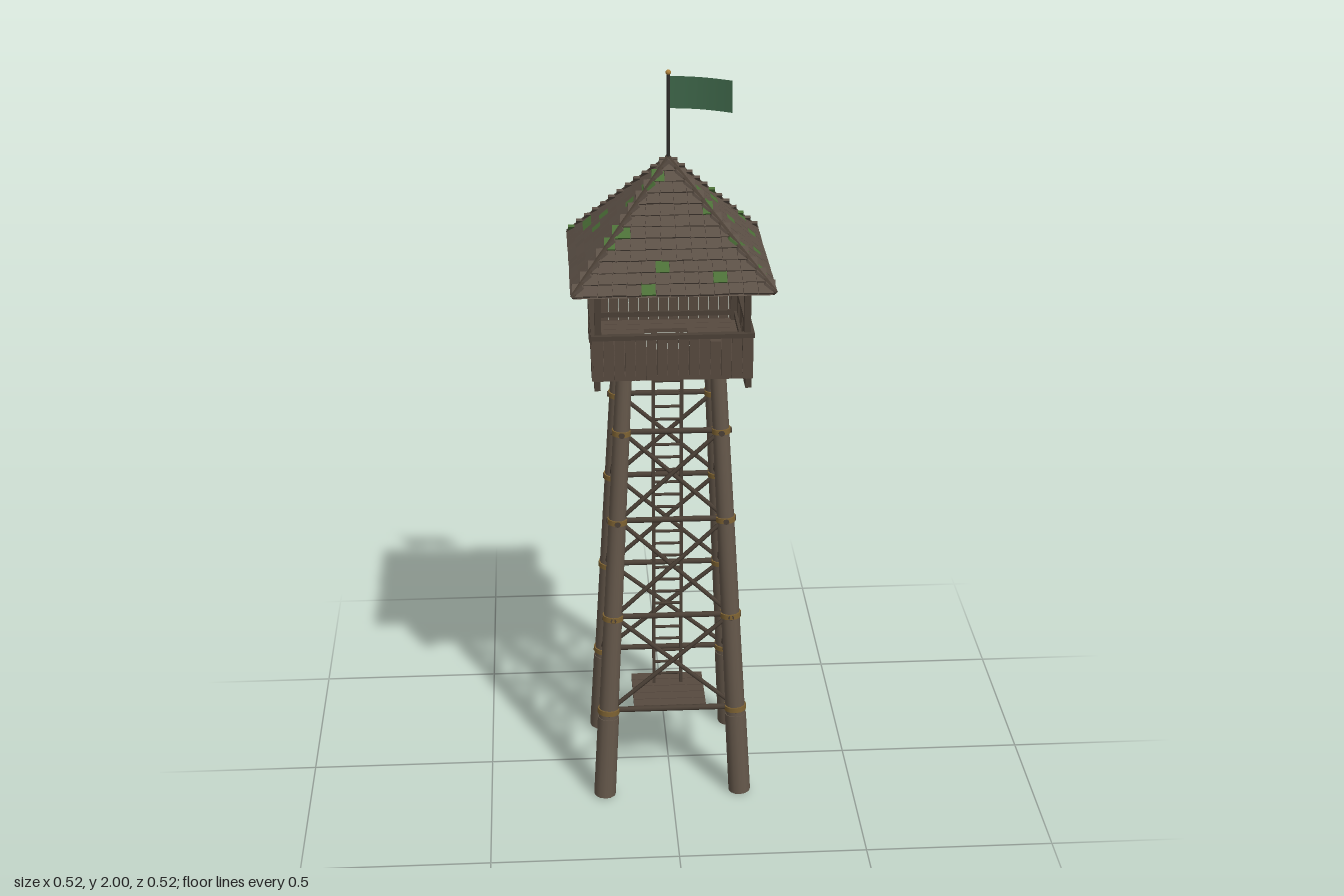
import * as THREE from 'three';
import { mergeGeometries } from 'three/addons/utils/BufferGeometryUtils.js';

const material = (name, color, side = THREE.FrontSide) => {
  const m = new THREE.MeshStandardMaterial({ color, side });
  m.name = name;
  return m;
};

let seed = 7;
const rand = () => (seed = (seed * 16807) % 2147483647) / 2147483647;

export function createModel() {
  const root = new THREE.Group();
  root.name = 'watchtower';

  const timber = material('timber', 0x64574a);
  const darkTimber = material('darkTimber', 0x4b4036);
  const boardWood = material('boardWood', 0x574a3f);
  const shingleWood = material('shingleWood', 0x5c5046);
  const lining = material('roofLining', 0x5c5046, THREE.DoubleSide);
  const moss = material('moss', 0x4c7038);
  const rope = material('rope', 0x7d6232);
  const brass = material('brass', 0xb0823c);
  const iron = material('iron', 0x2f2d2b);
  const cloth = material('flagCloth', 0x3c6347, THREE.DoubleSide);

  const V = (x, y, z) => new THREE.Vector3(x, y, z);
  const group = (name, parent = root) => {
    const g = new THREE.Group();
    g.name = name;
    parent.add(g);
    return g;
  };
  const add = (parent, name, geo, mat) => {
    const m = new THREE.Mesh(geo, mat);
    m.name = name;
    parent.add(m);
    return m;
  };
  const box = (parent, name, mat, w, h, d, x, y, z) =>
    add(parent, name, new THREE.BoxGeometry(w, h, d).translate(x, y, z), mat);
  // round pole from a to b
  const pole = (parent, name, mat, a, b, ra, rb = ra, sides = 8) => {
    const dir = b.clone().sub(a);
    const m = add(parent, name, new THREE.CylinderGeometry(rb, ra, dir.length(), sides), mat);
    m.position.copy(a).add(b).multiplyScalar(0.5);
    m.quaternion.setFromUnitVectors(V(0, 1, 0), dir.normalize());
    return m;
  };

  // leaning legs with rope lashings
  const levels = [0.26, 0.54, 0.82, 1.07];
  const legTop = 1.23;
  const spread = (y) => 0.187 - 0.065 * y / legTop;
  const legRadius = (y) => 0.028 - 0.007 * y / legTop;
  const at = (sx, sz, y) => V(sx * spread(y), y, sz * spread(y));
  const legs = group('legs');
  for (const sx of [-1, 1]) for (const sz of [-1, 1]) {
    pole(legs, 'leg', timber, at(sx, sz, 0), at(sx, sz, legTop), 0.028, 0.021, 12);
    pole(legs, 'legFoot', timber, at(sx, sz, 0.002), at(sx, sz, 0.24), 0.030, 0.029, 12);
    for (const y of levels)
      pole(legs, 'lashing', rope, at(sx, sz, y - 0.007), at(sx, sz, y + 0.007), legRadius(y) + 0.004, legRadius(y) + 0.004, 12);
  }

  // horizontal beams and cross braces, repeated on four sides
  const bracing = group('bracing');
  for (let s = 0; s < 4; s++) {
    const side = group('bracedSide', bracing);
    side.rotation.y = s * Math.PI / 2;
    levels.forEach((y, i) => {
      const w = spread(y);
      pole(side, 'crossBeam', darkTimber, V(-w - 0.028, y, w), V(w + 0.028, y, w), 0.008);
      if (i === 3) return;
      const y2 = levels[i + 1];
      for (const k of [-1, 1]) {
        const a = at(-k, 1, y), b = at(k, 1, y2);
        a.z += k * 0.005;
        b.z += k * 0.005;
        pole(side, 'diagonalBrace', darkTimber, a, b, 0.006, 0.006, 6);
      }
    });
  }

  // ladder and its landing
  const ladder = group('ladder');
  const lz = -0.037;
  for (const x of [-0.038, 0.038])
    box(ladder, 'ladderRail', darkTimber, 0.009, 1.06, 0.009, x, 0.75, lz);
  for (let y = 0.25; y < 1.27; y += 0.0372)
    pole(ladder, 'rung', darkTimber, V(-0.038, y, lz), V(0.038, y, lz), 0.004, 0.004, 6);
  const landing = group('landing');
  for (let i = 0; i < 5; i++)
    box(landing, 'landingPlank', boardWood, 0.2, 0.009, 0.034, 0, 0.216, -0.073 + i * 0.0365);

  // deck planks leaving a hatch around the ladder
  const deck = group('deck');
  for (let i = 0; i < 11; i++) {
    const z = -0.185 + i * 0.037;
    if (z > -0.12 && z < 0.03)
      for (const k of [-1, 1]) box(deck, 'deckPlank', boardWood, 0.145, 0.012, 0.035, k * 0.1305, 1.25, z);
    else box(deck, 'deckPlank', boardWood, 0.406, 0.012, 0.035, 0, 1.25, z);
  }
  for (const x of [-0.193, 0.193])
    box(deck, 'deckBracket', darkTimber, 0.016, 0.025, 0.16, x, 1.233, 0.13);

  // boarded parapet
  const parapet = group('parapet');
  for (let s = 0; s < 4; s++) {
    const side = group('parapetSide', parapet);
    side.rotation.y = s * Math.PI / 2;
    for (let i = 0; i < 15; i++) {
      const h = 0.112 + rand() * 0.005 - (i === 11 ? 0.01 : 0);
      box(side, 'parapetBoard', boardWood, 0.0255, h, 0.008, -0.1904 + i * 0.0272, 1.245 + h / 2, 0.2 + rand() * 0.003);
    }
    box(side, 'handrail', darkTimber, 0.416, 0.012, 0.018, 0, 1.362, 0.199);
    box(side, 'lowerRail', darkTimber, 0.39, 0.014, 0.008, 0, 1.275, 0.193);
  }

  // roof posts, wall plates and bell beam
  const frame = group('roofFrame');
  for (const x of [-0.19, 0.19]) for (const z of [-0.19, 0.19])
    box(frame, 'roofPost', darkTimber, 0.017, 0.28, 0.017, x, 1.385, z);
  for (const k of [-0.19, 0.19]) {
    box(frame, 'wallPlate', darkTimber, 0.4, 0.016, 0.016, 0, 1.506, k);
    box(frame, 'wallPlate', darkTimber, 0.016, 0.016, 0.4, k, 1.506, 0);
  }
  box(frame, 'bellBeam', darkTimber, 0.4, 0.018, 0.018, 0, 1.51, 0);

  // bell
  const bell = group('bell');
  const profile = [[0.037, 0], [0.034, 0.006], [0.025, 0.026], [0.02, 0.05], [0.013, 0.064], [0, 0.068]];
  const bellBody = add(bell, 'bellBody', new THREE.LatheGeometry(profile.map(([x, y]) => new THREE.Vector2(x, y)), 16), brass);
  bellBody.position.y = 1.422;
  add(bell, 'bellMouth', new THREE.CircleGeometry(0.036, 16).rotateX(Math.PI / 2).translate(0, 1.4225, 0), brass);
  add(bell, 'clapper', new THREE.SphereGeometry(0.008, 8, 6).translate(0, 1.418, 0), iron);
  pole(bell, 'bellHanger', iron, V(0, 1.485, 0), V(0, 1.505, 0), 0.005);

  // roof lining and hip beams
  const roof = group('roof');
  const eave = 0.252, eaveY = 1.487, apexY = 1.762;
  const liningGeo = new THREE.ConeGeometry(eave * Math.SQRT2, apexY - eaveY, 4, 1, true).toNonIndexed();
  liningGeo.computeVertexNormals();
  liningGeo.rotateY(Math.PI / 4).translate(0, (eaveY + apexY) / 2, 0);
  add(roof, 'roofLining', liningGeo, lining);
  for (const x of [-1, 1]) for (const z of [-1, 1])
    pole(roof, 'hipBeam', darkTimber, V(x * 0.253, eaveY + 0.006, z * 0.253), V(0, apexY + 0.008, 0), 0.008, 0.008, 6);

  // overlapping shingle courses, a few of them mossy
  const plain = [], mossy = [];
  const rows = 12;
  for (let s = 0; s < 4; s++) for (let r = 0; r < rows; r++) {
    const t = (r + 0.5) / rows;
    const z = eave * (1 - t), y = eaveY + (apexY - eaveY) * t + 0.006;
    const half = eave * (1 - r / rows) + 0.003;
    const count = Math.max(1, Math.round(half * 2 / 0.037));
    const pitch = half * 2 / count;
    const offset = r % 2 ? 0.25 : -0.25;
    for (let i = 0; i < count; i++) {
      // end shingles stop at the hip, inner joints alternate
      const x0 = -half + (i === 0 ? 0 : i + offset) * pitch;
      const x1 = -half + (i === count - 1 ? count : i + 1 + offset) * pitch;
      const g = new THREE.BoxGeometry(x1 - x0 - 0.0015, 0.007, 0.036 + rand() * 0.004);
      g.rotateX(0.68 + rand() * 0.04);
      g.translate((x0 + x1) / 2, y + rand() * 0.002, z);
      g.rotateY(s * Math.PI / 2);
      (rand() < 0.07 ? mossy : plain).push(g);
    }
  }
  add(roof, 'shingles', mergeGeometries(plain), shingleWood);
  add(roof, 'mossyShingles', mergeGeometries(mossy), moss);

  // flagpole and waving flag
  const flag = group('flag');
  pole(flag, 'flagpole', iron, V(0, 1.74, 0), V(0, 1.99, 0), 0.0045);
  add(flag, 'finial', new THREE.SphereGeometry(0.007, 10, 8).translate(0, 1.993, 0), brass);
  const clothGeo = new THREE.PlaneGeometry(0.158, 0.083, 16, 2);
  const p = clothGeo.attributes.position;
  for (let i = 0; i < p.count; i++) {
    const u = p.getX(i) / 0.158 + 0.5;
    p.setXYZ(i, 0.003 + u * 0.158, 1.942 + p.getY(i) - 0.011 * u, -0.008 * Math.sin(u * Math.PI) + 0.014 * u * u);
  }
  clothGeo.computeVertexNormals();
  add(flag, 'flagCloth', clothGeo, cloth);

  return root;
}
